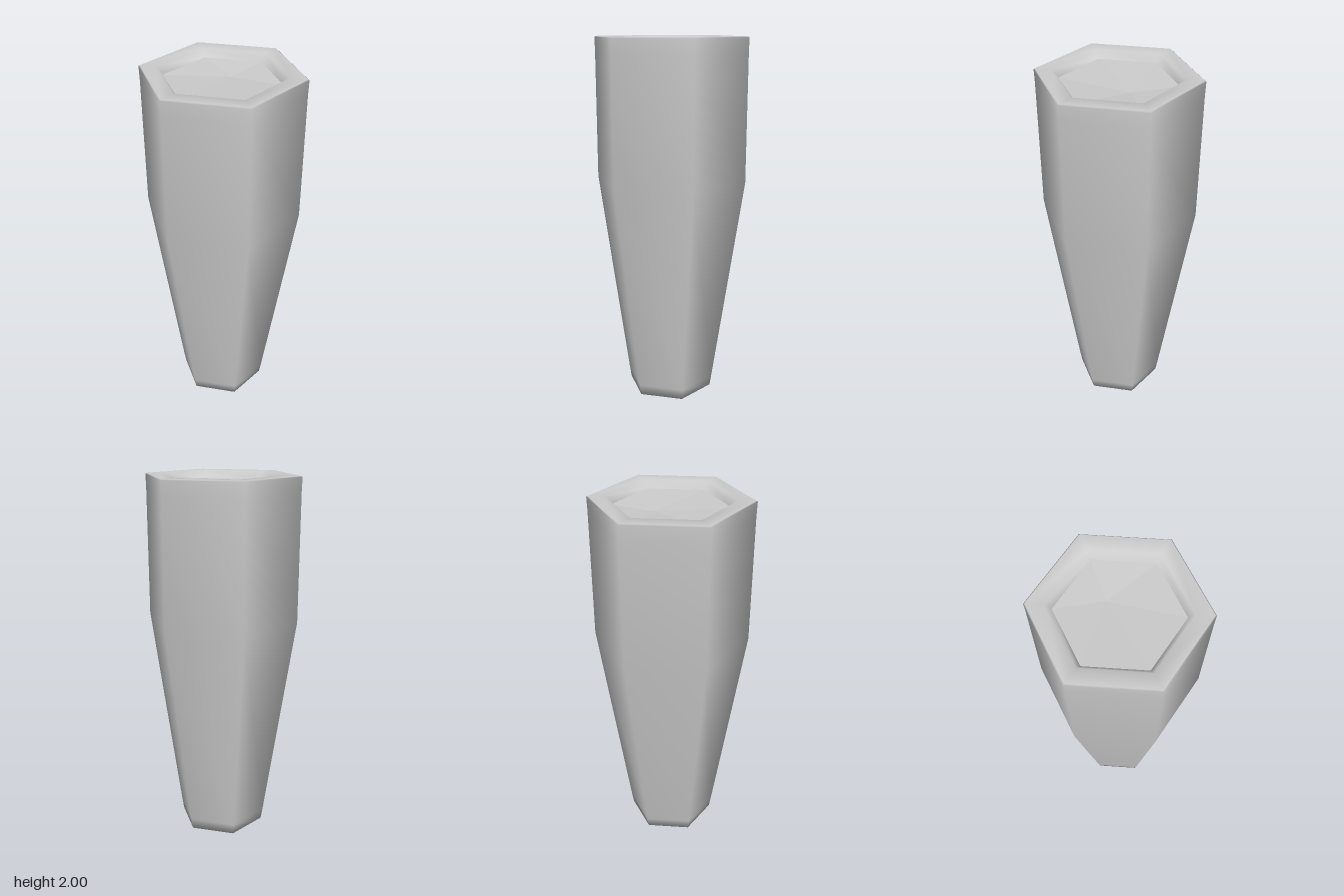
import * as THREE from 'three';

export function createModel() {
  const group = new THREE.Group();

  // Six-sided tapered body: bottom cap, taper, straight upper part, rim and lip
  const profile = [
    [0, 0], [0.24, 0], [0.25, 0.06], [0.42, 1.23], [0.42, 1.92],
    [0.422, 1.995], [0.415, 2], [0.33, 2], [0.3, 1.96],
  ].map(([r, y]) => new THREE.Vector2(r, y));
  const body = new THREE.Mesh(
    new THREE.LatheGeometry(profile, 6),
    new THREE.MeshStandardMaterial({ color: 0xcccccc }),
  );
  body.name = 'taperedBody';
  group.add(body);

  // Shallow faceted floor inside the rim, with its low point off centre
  const floorGeometry = new THREE.CircleGeometry(0.3, 6);
  floorGeometry.rotateX(-Math.PI / 2).rotateY(Math.PI / 2).translate(0, 1.96, 0);
  floorGeometry.attributes.position.setXYZ(0, 0.065, 1.94, -0.065);
  floorGeometry.computeVertexNormals();
  const floor = new THREE.Mesh(
    floorGeometry,
    new THREE.MeshStandardMaterial({ color: 0xcccccc, flatShading: true }),
  );
  floor.name = 'recessedTop';
  group.add(floor);

  return group;
}
